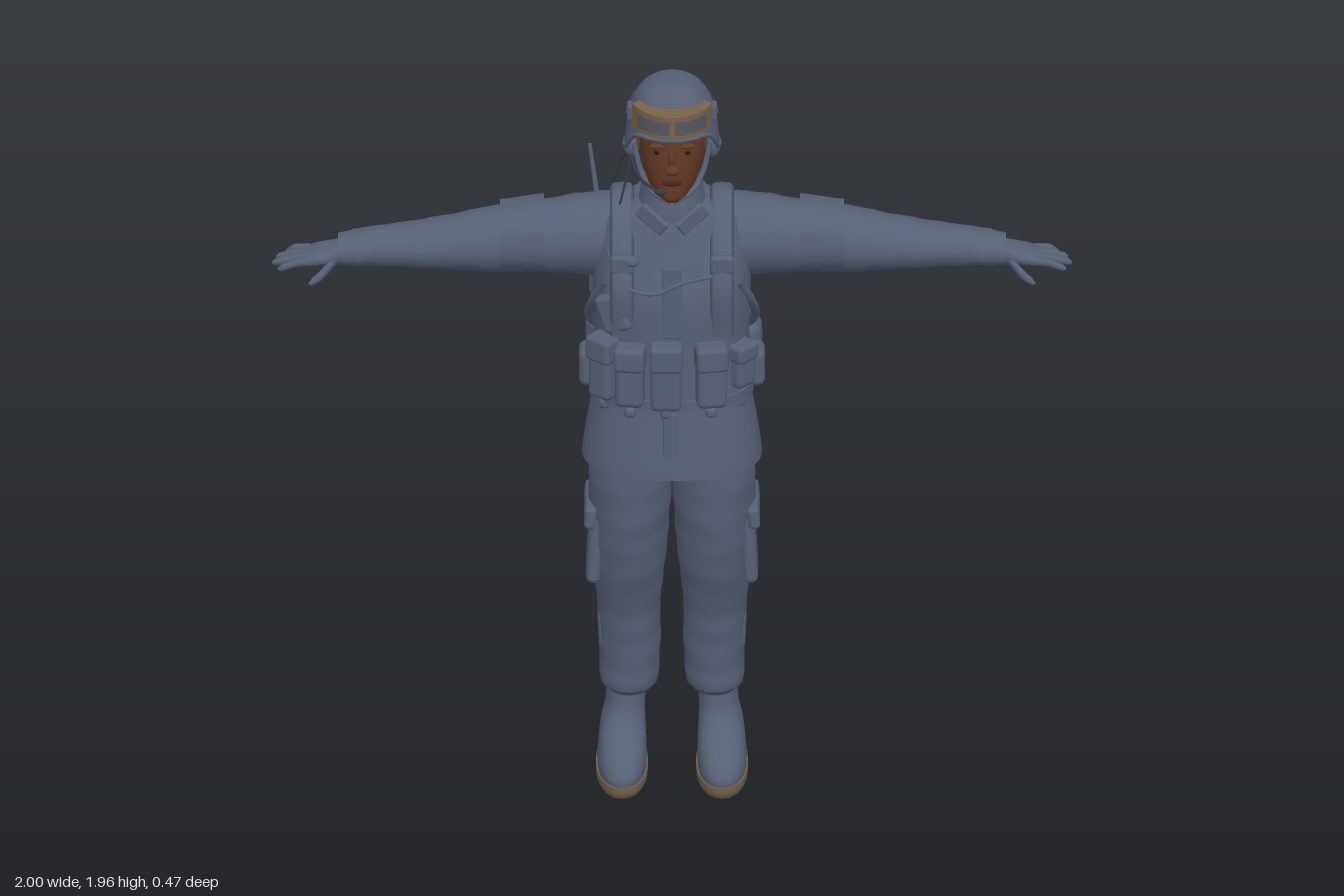
import * as THREE from 'three';
import { RoundedBoxGeometry } from 'three/addons/geometries/RoundedBoxGeometry.js';

const mat = (name, color) => new THREE.MeshStandardMaterial({ name, color, side: THREE.DoubleSide });

// Elliptical sections [t, c1, c2, r1, r2] joined along y (x,z sections) or x (y,z sections).
function loft(axis, secs, { n = 28, e = 2, wrinkle = 0, sub = 5, caps = true } = {}) {
  const rings = [];
  const cr = (a, b, c, d, f) => 0.5 * (2 * b + (c - a) * f + (2 * a - 5 * b + 4 * c - d) * f * f + (3 * b - a - 3 * c + d) * f * f * f);
  const at = (i) => secs[Math.max(0, Math.min(secs.length - 1, i))];
  for (let i = 0; i < secs.length - 1; i++)
    for (let k = 0; k < sub; k++)
      rings.push(secs[i].map((v, q) => (q === 0 ? v + (at(i + 1)[0] - v) * k / sub : cr(at(i - 1)[q], v, at(i + 1)[q], at(i + 2)[q], k / sub))));
  rings.push(at(secs.length - 1));
  const pos = [], idx = [];
  const put = (t, u, v) => (axis === 'y' ? pos.push(u, t, v) : pos.push(t, u, v));
  const ring = ([t, c1, c2, r1, r2]) => {
    for (let j = 0; j < n; j++) {
      const a = j / n * Math.PI * 2;
      const p = (v) => Math.sign(v) * Math.abs(v) ** (2 / e);
      const w = 1 + wrinkle * (Math.sin(t * 75 + 2 * Math.sin(a)) + 0.6 * Math.sin(t * 41 - 2 * a));
      const [k1, k2] = axis === 'y' ? [Math.cos(a), Math.sin(a)] : [Math.sin(a), Math.cos(a)];
      put(t, c1 + r1 * w * p(k1), c2 + r2 * w * p(k2));
    }
  };
  rings.forEach(ring);
  for (let i = 0; i < rings.length - 1; i++)
    for (let j = 0; j < n; j++) {
      const a = i * n + j, b = i * n + (j + 1) % n;
      idx.push(a, a + n, b + n, a, b + n, b);
    }
  if (caps) [rings[0], rings[rings.length - 1]].forEach((r, end) => {
    const s = pos.length / 3;
    ring(r);
    put(r[0], r[1], r[2]);
    for (let j = 0; j < n; j++) {
      const a = s + j, b = s + (j + 1) % n;
      end ? idx.push(s + n, b, a) : idx.push(s + n, a, b);
    }
  });
  const g = new THREE.BufferGeometry();
  g.setAttribute('position', new THREE.Float32BufferAttribute(pos, 3));
  g.setIndex(idx);
  g.computeVertexNormals();
  return g;
}

const box = (w, h, d, x, y, z, ry = 0, rz = 0, r = 0.012) =>
  new RoundedBoxGeometry(w, h, d, 2, Math.min(r, w / 2.1, h / 2.1, d / 2.1)).rotateZ(rz).rotateY(ry).translate(x, y, z);
const ball = (x, y, z, a, b, c) => new THREE.SphereGeometry(1, 18, 12).scale(a, b, c).translate(x, y, z);
const tube = (pts, r, seg = 24) => new THREE.TubeGeometry(new THREE.CatmullRomCurve3(pts.map((p) => new THREE.Vector3(...p))), seg, r, 8);

function mirrored(geo) {
  const g = geo.clone().scale(-1, 1, 1);
  const ix = g.index ? Array.from(g.index.array) : Array.from({ length: g.attributes.position.count }, (_, i) => i);
  for (let i = 0; i < ix.length; i += 3) [ix[i + 1], ix[i + 2]] = [ix[i + 2], ix[i + 1]];
  g.setIndex(ix);
  return g;
}

export function createModel() {
  const model = new THREE.Group();
  const cloth = mat('slate cloth', 0x566074), skin = mat('brown skin', 0x633824), lipMat = mat('dark lips', 0x4a2620);
  const eyeMat = mat('dark eyes', 0x1f1613), tan = mat('tan frame', 0x7a6248), lensMat = mat('goggle lens', 0x565860);
  const soleMat = mat('boot sole', 0x6f5e4c), dark = mat('dark cable', 0x343a46);
  const add = (name, geo, m = cloth) => {
    const mesh = new THREE.Mesh(geo, m);
    mesh.name = name;
    model.add(mesh);
  };
  const pair = (name, geo, m) => { add(name + 'Left', geo, m); add(name + 'Right', mirrored(geo), m); };

  // Jacket, vest and belt
  add('jacketSkirt', loft('y', [[0.905, 0, 0.047, 0.225, 0.163], [1.0, 0, 0.048, 0.213, 0.152], [1.12, 0, 0.05, 0.192, 0.138]], { e: 2.3, n: 40 }));
  add('vest', loft('y', [[1.1, 0, 0.052, 0.2, 0.143], [1.25, 0, 0.045, 0.193, 0.15], [1.4, 0, 0.035, 0.197, 0.16],
    [1.5, 0, 0.022, 0.19, 0.148], [1.57, 0, 0.02, 0.165, 0.125], [1.615, 0, 0.03, 0.11, 0.1], [1.64, 0, 0.04, 0.06, 0.07]], { e: 2.4, n: 40 }));
  add('belt', loft('y', [[1.095, 0, 0.052, 0.205, 0.149], [1.125, 0, 0.052, 0.205, 0.149]], { e: 2.4, n: 40, sub: 1 }));
  add('jacketPlacket', box(0.035, 0.18, 0.008, -0.005, 1.0, 0.2));
  add('vestPlacket', box(0.05, 0.2, 0.01, 0, 1.4, 0.192));
  add('collar', loft('y', [[1.575, 0, 0.035, 0.105, 0.1], [1.62, 0, 0.045, 0.085, 0.09], [1.68, 0, 0.045, 0.075, 0.08]], { caps: false }).applyMatrix4(
    new THREE.Matrix4().makeShear(0, 0, 0, 0, 0, 0)));
  pair('collarFlap', box(0.085, 0.045, 0.014, 0.05, 1.605, 0.13, 0.45, 0.6));

  // Shoulder straps: flattened loops from chest to back
  const strap = tube([[0, 1.3, 0.175], [0, 1.44, 0.185], [0, 1.53, 0.15], [0, 1.6, 0.09], [0, 1.625, 0.02], [0, 1.58, -0.08], [0, 1.45, -0.12]], 0.011, 30);
  pair('shoulderStrap', strap.scale(2.7, 1, 1).translate(0.125, 0, 0));
  pair('strapBuckle', box(0.06, 0.05, 0.02, 0.125, 1.5, 0.175));
  pair('sideStrap', tube([[0.165, 1.43, 0.13], [0.2, 1.34, 0.07], [0.205, 1.25, -0.02], [0.17, 1.18, -0.09]], 0.012));

  // Arms, cuffs and gloved hands
  pair('sleeve', loft('x', [[0.11, 1.49, -0.01, 0.105, 0.11], [0.2, 1.492, -0.01, 0.106, 0.1], [0.3, 1.492, 0, 0.093, 0.093], [0.44, 1.485, 0.007, 0.084, 0.085],
    [0.6, 1.472, 0.005, 0.062, 0.072], [0.7, 1.467, 0.007, 0.052, 0.063], [0.8, 1.463, 0.01, 0.042, 0.056]], { wrinkle: 0.012 }));
  pair('cuff', loft('x', [[0.775, 1.464, 0.012, 0.045, 0.058], [0.835, 1.46, 0.015, 0.038, 0.05]]));
  pair('sleevePocket', loft('x', [[0.32, 1.505, 0.004, 0.089, 0.094], [0.43, 1.499, 0.008, 0.08, 0.092]], { e: 2.4 }));
  pair('palm', loft('x', [[0.81, 1.46, 0.016, 0.026, 0.035], [0.85, 1.456, 0.022, 0.024, 0.042], [0.89, 1.451, 0.026, 0.02, 0.046], [0.925, 1.446, 0.026, 0.013, 0.042]], { e: 2.4 }));
  [[-0.01, 0.967, -0.022], [0.014, 0.99, 0.006], [0.038, 1.0, 0.036], [0.06, 0.985, 0.068]].forEach(([z, tip, tz], i) =>
    pair('finger' + (i + 1), loft('x', [[0.905, 1.449, z, 0.012, 0.012], [0.945, 1.445, (z + tz) / 2, 0.011, 0.011], [tip - 0.008, 1.434, tz, 0.009, 0.009], [tip, 1.432, tz, 0.003, 0.003]], { n: 10, sub: 3 })));
  pair('thumb', loft('x', [[0.835, 1.45, 0.04, 0.016, 0.016], [0.87, 1.425, 0.075, 0.015, 0.015], [0.9, 1.409, 0.094, 0.01, 0.01], [0.908, 1.406, 0.097, 0.003, 0.003]], { n: 12 }));

  // Trousers, cargo pockets and boots
  pair('trouserLeg', loft('y', [[0.215, 0.107, -0.005, 0.058, 0.066], [0.235, 0.107, -0.002, 0.073, 0.082], [0.29, 0.106, 0, 0.075, 0.083], [0.38, 0.106, 0.004, 0.078, 0.086],
    [0.47, 0.108, 0.01, 0.08, 0.092], [0.6, 0.107, 0.027, 0.092, 0.112], [0.72, 0.106, 0.036, 0.1, 0.121], [0.85, 0.104, 0.043, 0.104, 0.123], [0.96, 0.1, 0.045, 0.1, 0.12]], { wrinkle: 0.013 }));
  pair('cargoPocket', box(0.035, 0.19, 0.16, 0.193, 0.65, 0.03, 0, 0.05, 0.016));
  pair('pocketFlap', box(0.03, 0.06, 0.17, 0.204, 0.745, 0.035, 0, 0.08));
  pair('calfPocket', box(0.025, 0.1, 0.1, 0.172, 0.385, -0.01, 0, -0.05));
  pair('boot', loft('y', [[0.022, 0.125, 0.062, 0.06, 0.143], [0.05, 0.125, 0.062, 0.062, 0.143], [0.085, 0.124, 0.045, 0.06, 0.125], [0.125, 0.122, 0.012, 0.056, 0.088],
    [0.17, 0.117, -0.005, 0.05, 0.067], [0.25, 0.112, -0.008, 0.052, 0.062]], { e: 2.3 }));
  pair('sole', loft('y', [[0, 0.125, 0.062, 0.058, 0.142], [0.012, 0.125, 0.062, 0.065, 0.148], [0.032, 0.125, 0.062, 0.065, 0.148]], { e: 2.4, sub: 2 }), soleMat);

  // Belt pouches: x, z, turn, width, height
  [[-0.105, 0.2, -0.15, 0.072, 0.165], [-0.015, 0.207, 0, 0.078, 0.18], [0.098, 0.2, 0.15, 0.076, 0.17], [-0.17, 0.15, -0.7, 0.07, 0.17], [0.172, 0.135, 0.8, 0.065, 0.12]].forEach(([x, z, ry, w, h], i) => {
    add('pouch' + i, box(w, h, 0.055, x, 1.2, z, ry, 0, 0.016));
    add('pouchFlap' + i, box(w + 0.006, h * 0.4, 0.06, x + Math.sin(ry) * 0.004, 1.2 + h * 0.32, z + 0.004, ry));
    add('pouchLoop' + i, box(0.03, 0.03, 0.025, x, 1.09, z - 0.012, ry));
  });
  pair('hipPouch', box(0.045, 0.1, 0.08, 0.21, 1.15, 0.04, 0, 0, 0.018));
  add('canteenPouch', loft('y', [[1.06, 0.18, -0.09, 0.035, 0.04], [1.09, 0.18, -0.09, 0.045, 0.052], [1.19, 0.18, -0.09, 0.045, 0.052], [1.22, 0.18, -0.09, 0.03, 0.035]], { e: 2.6 }));
  add('rearPouch', box(0.1, 0.12, 0.08, -0.16, 1.15, -0.1, 0.6, 0, 0.02));
  add('chestPouch', box(0.075, 0.1, 0.035, -0.145, 1.36, 0.165, -0.4, 0.35));

  // Back pack with cap and side seams
  add('backPack', loft('y', [[1.11, 0, -0.065, 0.07, 0.045], [1.2, 0, -0.085, 0.115, 0.075], [1.3, 0, -0.095, 0.13, 0.097], [1.42, 0, -0.1, 0.13, 0.105],
    [1.52, 0, -0.09, 0.115, 0.097], [1.6, 0, -0.065, 0.085, 0.075], [1.65, 0, -0.035, 0.045, 0.04]], { e: 1.75 }));
  add('packCap', new THREE.CylinderGeometry(0.028, 0.032, 0.03, 20).rotateX(-1.0).translate(0, 1.56, -0.165));
  pair('packSeam', tube([[0.05, 1.61, -0.105], [0.085, 1.5, -0.135], [0.095, 1.38, -0.145], [0.085, 1.25, -0.13], [0.05, 1.15, -0.1]], 0.008));

  // Radio, antenna and cables
  add('radio', box(0.06, 0.17, 0.045, -0.165, 1.36, -0.155, 0.5));
  add('radioPouch', box(0.075, 0.1, 0.06, -0.165, 1.29, -0.15, 0.5, 0, 0.015));
  add('antenna', new THREE.CylinderGeometry(0.005, 0.009, 0.24, 10).rotateX(-0.07).rotateZ(0.13).translate(-0.19, 1.54, -0.16));
  add('radioCable', tube([[-0.1, 1.76, -0.02], [-0.1, 1.68, -0.12], [-0.13, 1.6, -0.18], [-0.16, 1.46, -0.225], [-0.17, 1.39, -0.225], [-0.165, 1.37, -0.17]], 0.003, 40), dark);
  add('headsetCable', tube([[-0.1, 1.75, 0.03], [-0.115, 1.68, 0.06], [-0.135, 1.6, 0.08]], 0.003), dark);
  add('chestCable', tube([[-0.16, 1.52, 0.14], [-0.13, 1.45, 0.18], [-0.05, 1.43, 0.2], [0.03, 1.46, 0.195], [0.1, 1.47, 0.18]], 0.005));
  add('chestMicrophone', ball(-0.1, 1.51, 0.175, 0.018, 0.014, 0.016));

  // Head and face
  add('neck', loft('y', [[1.56, 0, 0.04, 0.065, 0.07], [1.64, 0, 0.045, 0.06, 0.068], [1.76, 0, 0.04, 0.062, 0.068]]), skin);
  add('face', loft('y', [[1.662, 0, 0.115, 0.025, 0.035], [1.675, 0, 0.1, 0.042, 0.058], [1.705, 0, 0.075, 0.063, 0.083], [1.75, 0, 0.06, 0.076, 0.099],
    [1.8, 0, 0.048, 0.082, 0.106], [1.87, 0, 0.04, 0.084, 0.105]]), skin);
  add('noseBridge', ball(0, 1.785, 0.15, 0.011, 0.034, 0.014), skin);
  add('noseTip', ball(0, 1.76, 0.16, 0.018, 0.013, 0.017), skin);
  pair('brow', ball(0.033, 1.818, 0.139, 0.026, 0.008, 0.011), skin);
  pair('eye', ball(0.033, 1.8, 0.14, 0.013, 0.006, 0.005), eyeMat);
  pair('ear', ball(0.084, 1.775, 0.03, 0.012, 0.03, 0.02), skin);
  add('lips', ball(0, 1.722, 0.151, 0.026, 0.011, 0.012), lipMat);

  // Helmet: a dome whose lower edge rises over the brow
  const rim = (f) => 1.77 + 0.07 * THREE.MathUtils.smoothstep(f, 0.1, 0.75);
  const dome = new THREE.SphereGeometry(1, 40, 18, 0, Math.PI * 2, 0, Math.PI / 2);
  const p = dome.attributes.position;
  for (let i = 0; i < p.count; i++) {
    const x = p.getX(i), y = p.getY(i), z = p.getZ(i), r = Math.hypot(x, z) || 1e-6, k = r ** 0.6 / r, e = rim(z / r);
    p.setXYZ(i, x * k * 0.118, e + (1.955 - e) * y, 0.032 + z * k * 0.121);
  }
  dome.computeVertexNormals();
  add('helmet', dome);
  const edge = Array.from({ length: 32 }, (_, i) => {
    const a = i / 32 * Math.PI * 2;
    return [Math.sin(a) * 0.118, rim(Math.cos(a)), 0.032 + Math.cos(a) * 0.121];
  });
  add('helmetRim', tube([...edge, edge[0]], 0.006, 64));
  add('goggleStrap', new THREE.CylinderGeometry(0.89, 0.975, 0.03, 40, 1, true).scale(0.118, 1, 0.121).translate(0, 1.878, 0.032));

  // Goggles: curved frame with two lens plates
  const arc = (r, h, start, len) => new THREE.CylinderGeometry(r, r, h, 24, 1, false, start, len).scale(0.112, 1, 0.147).translate(0, 1.888, 0.032);
  add('goggleFrame', arc(1, 0.062, -1.1, 2.2), tan);
  pair('goggleLens', arc(1.025, 0.038, 0.06, 0.8), lensMat);
  pair('goggleClip', box(0.016, 0.045, 0.035, 0.105, 1.888, 0.08), cloth);

  // Headset, chin strap and microphone boom
  pair('earCup', ball(0.1, 1.765, 0.025, 0.022, 0.035, 0.034));
  pair('chinStrap', tube([[0.095, 1.79, 0.07], [0.078, 1.72, 0.085], [0.05, 1.678, 0.115], [0, 1.662, 0.145]], 0.007));
  add('microphoneBoom', tube([[-0.105, 1.755, 0.04], [-0.085, 1.725, 0.12], [-0.04, 1.712, 0.18]], 0.004), dark);
  add('microphone', ball(-0.03, 1.712, 0.183, 0.014, 0.009, 0.009), dark);
  return model;
}
